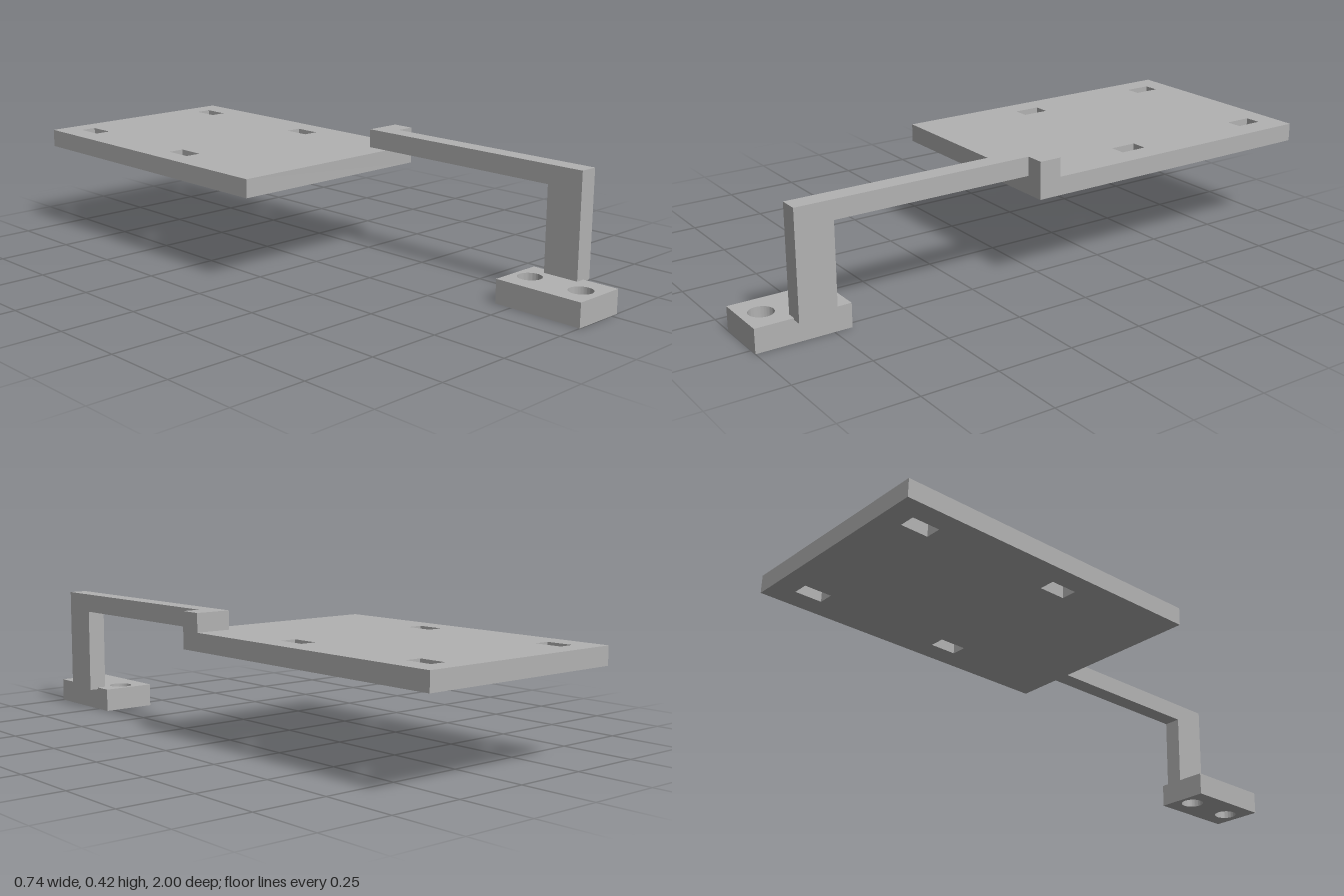
import * as THREE from 'three';
import { toCreasedNormals } from 'three/addons/utils/BufferGeometryUtils.js';

// Rectangle path from two corners, in plan (x, -z)
function rect(path, x0, x1, z0, z1) {
  path.moveTo(x0, -z1);
  path.lineTo(x1, -z1);
  path.lineTo(x1, -z0);
  path.lineTo(x0, -z0);
  path.closePath();
  return path;
}

// Horizontal slab cut from a plan shape, between two heights
function slab(shape, y0, y1) {
  const g = new THREE.ExtrudeGeometry(shape, { depth: y1 - y0, bevelEnabled: false, curveSegments: 32 });
  g.rotateX(-Math.PI / 2);
  g.translate(0, y0, 0);
  return toCreasedNormals(g, 0.6);
}

export function createModel() {
  const group = new THREE.Group();
  const grey = new THREE.MeshStandardMaterial({ color: 0xb2b2b2 });
  grey.name = 'plain grey';
  const add = (name, geometry) => {
    const mesh = new THREE.Mesh(geometry, grey);
    mesh.name = name;
    group.add(mesh);
  };

  // Mounting plate with four slots
  const plate = rect(new THREE.Shape(), -0.371, 0.371, -1, 0.081);
  for (const x of [-0.27, 0.265])
    for (const z of [-0.881, -0.357])
      plate.holes.push(rect(new THREE.Path(), x - 0.027, x + 0.027, z - 0.046, z + 0.046));
  add('mountingPlate', slab(plate, 0.297, 0.357));

  // Arm and leg as one bent profile in (z, y)
  const profile = new THREE.Shape([
    [0.005, 0.357], [0.753, 0.357], [0.753, 0.072],
    [0.876, 0.072], [0.876, 0.419], [0.005, 0.419],
  ].map(([z, y]) => new THREE.Vector2(z, y)));
  const arm = new THREE.ExtrudeGeometry(profile, { depth: 0.062, bevelEnabled: false });
  arm.rotateY(-Math.PI / 2);
  arm.translate(0.309, 0, 0);
  add('armAndLeg', arm);

  // Tab that widens the arm where it meets the plate
  const tab = new THREE.BoxGeometry(0.062, 0.062, 0.076);
  tab.translate(0.34, 0.388, 0.043);
  add('armTab', tab);

  // Foot with two round screw holes
  const foot = rect(new THREE.Shape(), 0.093, 0.278, 0.691, 1);
  for (const z of [0.747, 0.934])
    foot.holes.push(new THREE.Path().absarc(0.185, -z, 0.039, 0, Math.PI * 2, true));
  add('foot', slab(foot, 0, 0.078));

  return group;
}
